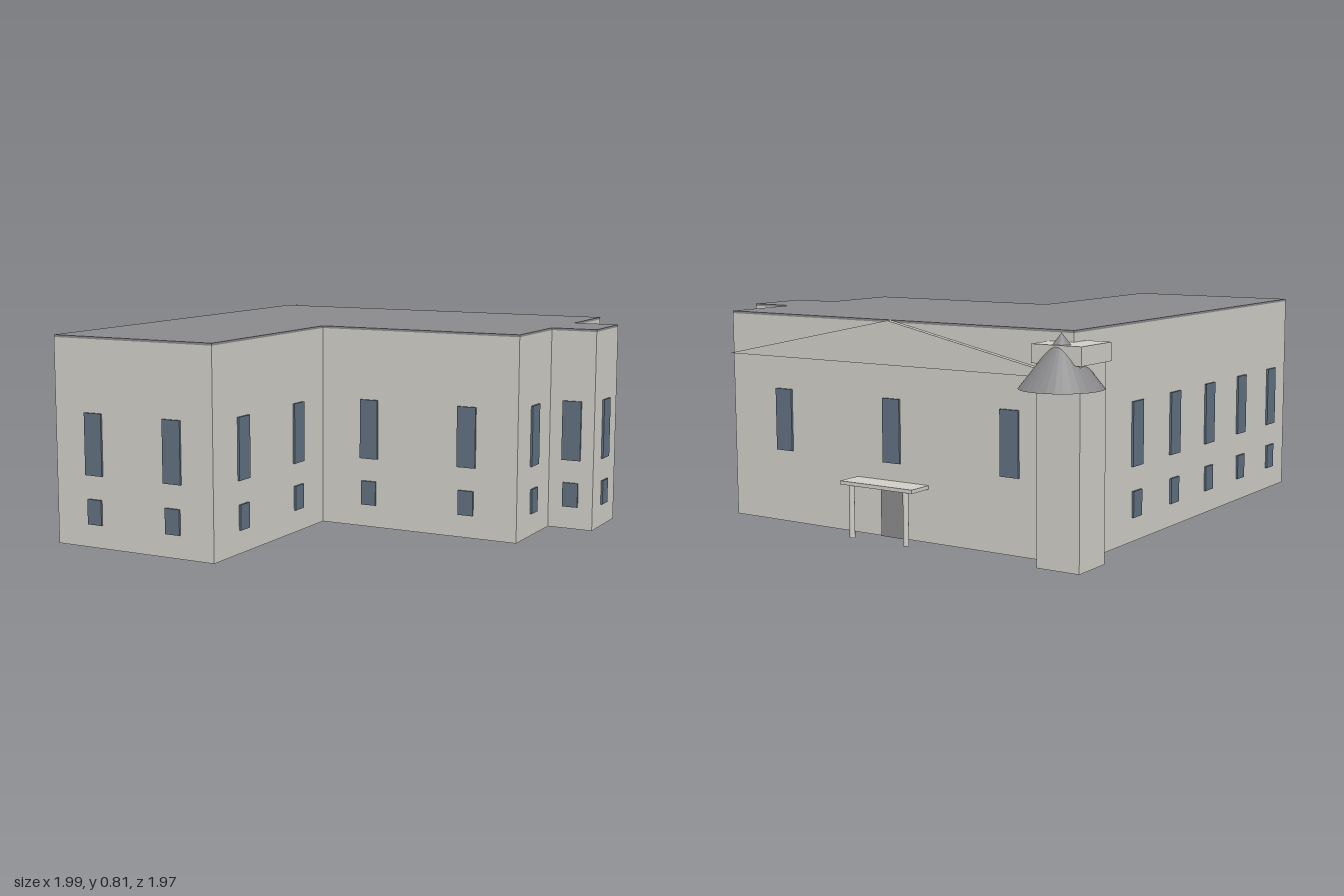
import * as THREE from 'three';

const wallMat = new THREE.MeshStandardMaterial({ color: 0xd0cec6 });
wallMat.name = 'pale stone';
const roofMat = new THREE.MeshStandardMaterial({ color: 0x8a8a8c, flatShading: true });
roofMat.name = 'roof grey';
const glassMat = new THREE.MeshStandardMaterial({ color: 0x607080 });
glassMat.name = 'window blue grey';

const HEIGHT = 0.8;
const EAST = 0.863; // entrance wall
const MID = 0.054; // centre of the entrance wall

// Footprint corners (x, z) and the number of window bays on the wall after each
const corners = [
  [-0.915, -0.727, 6], [EAST, -0.727, 3], [EAST, 0.835, 1], [0.533, 0.835, 1],
  [0.533, 1.021, 1], [0.262, 1.021, 1], [0.262, 0.835, 1], [-0.088, 0.835, 2],
  [-0.088, -0.016, 2], [-0.915, -0.016, 2],
];

function add(parent, name, geometry, material, x = 0, y = 0, z = 0) {
  const mesh = new THREE.Mesh(geometry, material);
  mesh.name = name;
  mesh.position.set(x, y, z);
  parent.add(mesh);
  return mesh;
}

const box = (w, h, d) => new THREE.BoxGeometry(w, h, d);

function footprintSlab(depth) {
  const shape = new THREE.Shape(corners.map(([x, z]) => new THREE.Vector2(x, -z)));
  return new THREE.ExtrudeGeometry(shape, { depth, bevelEnabled: false }).rotateX(-Math.PI / 2);
}

// Evenly spaced window bays along every wall
function addWindows(parent) {
  const windows = new THREE.Group();
  windows.name = 'windows';
  parent.add(windows);
  corners.forEach(([x0, z0, bays], i) => {
    const [x1, z1] = corners[(i + 1) % corners.length];
    const angle = Math.atan2(z1 - z0, x0 - x1);
    const entranceWall = i === 1;
    for (let b = 0; b < bays; b++) {
      const t = (b + 0.5) / bays;
      const x = x0 + (x1 - x0) * t;
      const z = z0 + (z1 - z0) * t;
      add(windows, 'tallWindow', box(0.078, 0.24, 0.016), glassMat, x, 0.4, z).rotation.y = angle;
      if (!entranceWall) {
        add(windows, 'lowerWindow', box(0.064, 0.098, 0.016), glassMat, x, 0.139, z).rotation.y = angle;
      }
    }
  });
}

// Shallow gable on the entrance wall
function addPediment(parent) {
  const half = 0.781;
  const shape = new THREE.Shape([
    new THREE.Vector2(-half, 0.645), new THREE.Vector2(half, 0.645), new THREE.Vector2(0, 0.808),
  ]);
  const geometry = new THREE.ExtrudeGeometry(shape, { depth: 0.021, bevelEnabled: false });
  add(parent, 'pediment', geometry.rotateY(Math.PI / 2), wallMat, EAST, 0, MID);
}

// Door with a canopy on two posts
function addPorch(parent) {
  const porch = new THREE.Group();
  porch.name = 'porch';
  parent.add(porch);
  add(porch, 'door', box(0.012, 0.2, 0.102), roofMat, EAST, 0.1, MID);
  add(porch, 'canopy', box(0.102, 0.014, 0.331), wallMat, EAST + 0.051, 0.206, MID);
  for (const side of [-1, 1]) {
    add(porch, 'post', new THREE.CylinderGeometry(0.0105, 0.0105, 0.2, 16), wallMat,
      EAST + 0.085, 0.1, MID + side * 0.125);
  }
}

// Corner tower with a block cap and an offset cone
function addTower(parent) {
  const tower = new THREE.Group();
  tower.name = 'cornerTower';
  parent.add(tower);
  add(tower, 'towerShaft', box(0.17, 0.705, 0.17), wallMat, 0.88, 0.3525, -0.727);
  add(tower, 'towerCap', box(0.197, 0.065, 0.197), wallMat, 0.88, 0.7365, -0.727);
  add(tower, 'towerCone', new THREE.ConeGeometry(0.147, 0.187, 32), roofMat, 0.943, 0.7145, -0.727);
}

export function createModel() {
  const model = new THREE.Group();
  model.name = 'building';
  const body = new THREE.Group();
  body.name = 'body';
  body.rotation.y = 0.1268;
  model.add(body);

  add(body, 'walls', footprintSlab(HEIGHT), wallMat);
  add(body, 'roof', footprintSlab(0.009), roofMat, 0, HEIGHT, 0);
  addWindows(body);
  addPediment(body);
  addPorch(body);
  addTower(body);
  return model;
}
